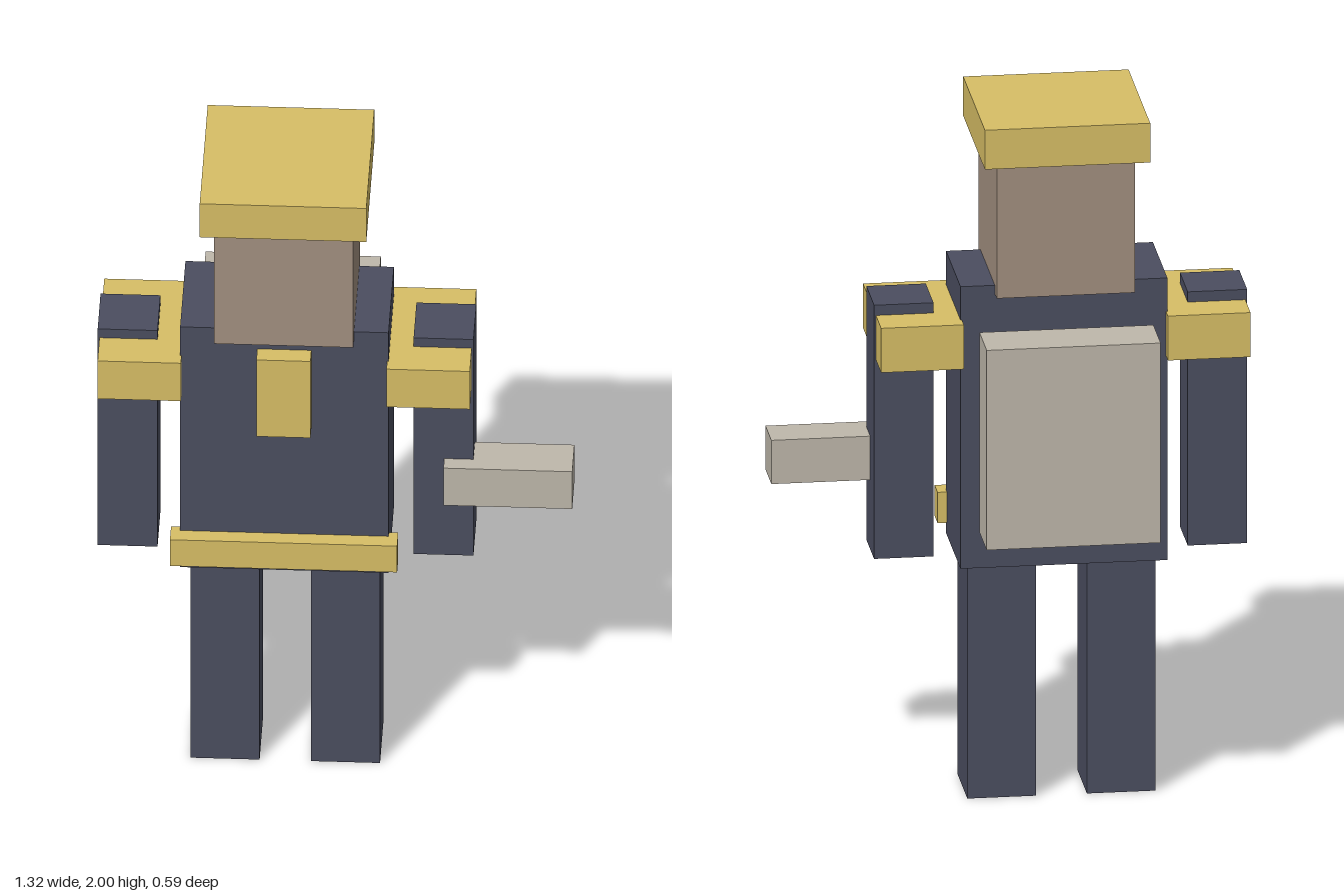
import * as THREE from 'three';

const material = (color) => new THREE.MeshStandardMaterial({ color });

export function createModel() {
  const model = new THREE.Group();
  const navy = material(0x4b4e60);
  const gold = material(0xd8bf66);
  const skin = material(0xa39080);
  const stone = material(0xbfb8ab);
  const bodyX = -0.14; // the held tool pushes the body off centre

  // Box given by its [min, max] on each axis
  function box(name, mat, [x0, x1], [y0, y1], [z0, z1]) {
    const mesh = new THREE.Mesh(new THREE.BoxGeometry(x1 - x0, y1 - y0, z1 - z0), mat);
    mesh.position.set((x0 + x1) / 2, (y0 + y1) / 2, (z0 + z1) / 2);
    mesh.name = name;
    model.add(mesh);
  }
  // Box centred on the body
  const centred = (name, mat, width, y, z) =>
    box(name, mat, [bodyX - width / 2, bodyX + width / 2], y, z);
  // Pair of boxes mirrored about the body; x is the distance from its middle
  function pair(name, mat, [a, b], y, z) {
    box('left' + name, mat, [bodyX + a, bodyX + b], y, z);
    box('right' + name, mat, [bodyX - b, bodyX - a], y, z);
  }

  // Body and head
  centred('torso', navy, 0.578, [0.692, 1.518], [-0.09, 0.218]);
  centred('head', skin, 0.386, [1.493, 1.888], [-0.13, 0.258]);
  centred('hat', gold, 0.462, [1.885, 2], [-0.167, 0.295]);

  // Limbs
  pair('Leg', navy, [0.071, 0.263], [0, 0.692], [-0.038, 0.167]);
  pair('Arm', navy, [0.355, 0.521], [0.707, 1.45], [-0.019, 0.146]);
  pair('ShoulderPad', gold, [0.285, 0.516], [1.29, 1.42], [-0.13, 0.255]);

  // Trim on the front
  centred('belt', gold, 0.63, [0.728, 0.818], [0.2, 0.263]);
  centred('chestPlate', gold, 0.15, [1.187, 1.45], [0.2, 0.27]);

  // Carried items
  centred('backpack', stone, 0.486, [0.815, 1.4], [-0.297, -0.142]);
  box('heldTool', stone, [0.3, 0.657], [0.91, 1.038], [0.065, 0.191]);

  return model;
}
